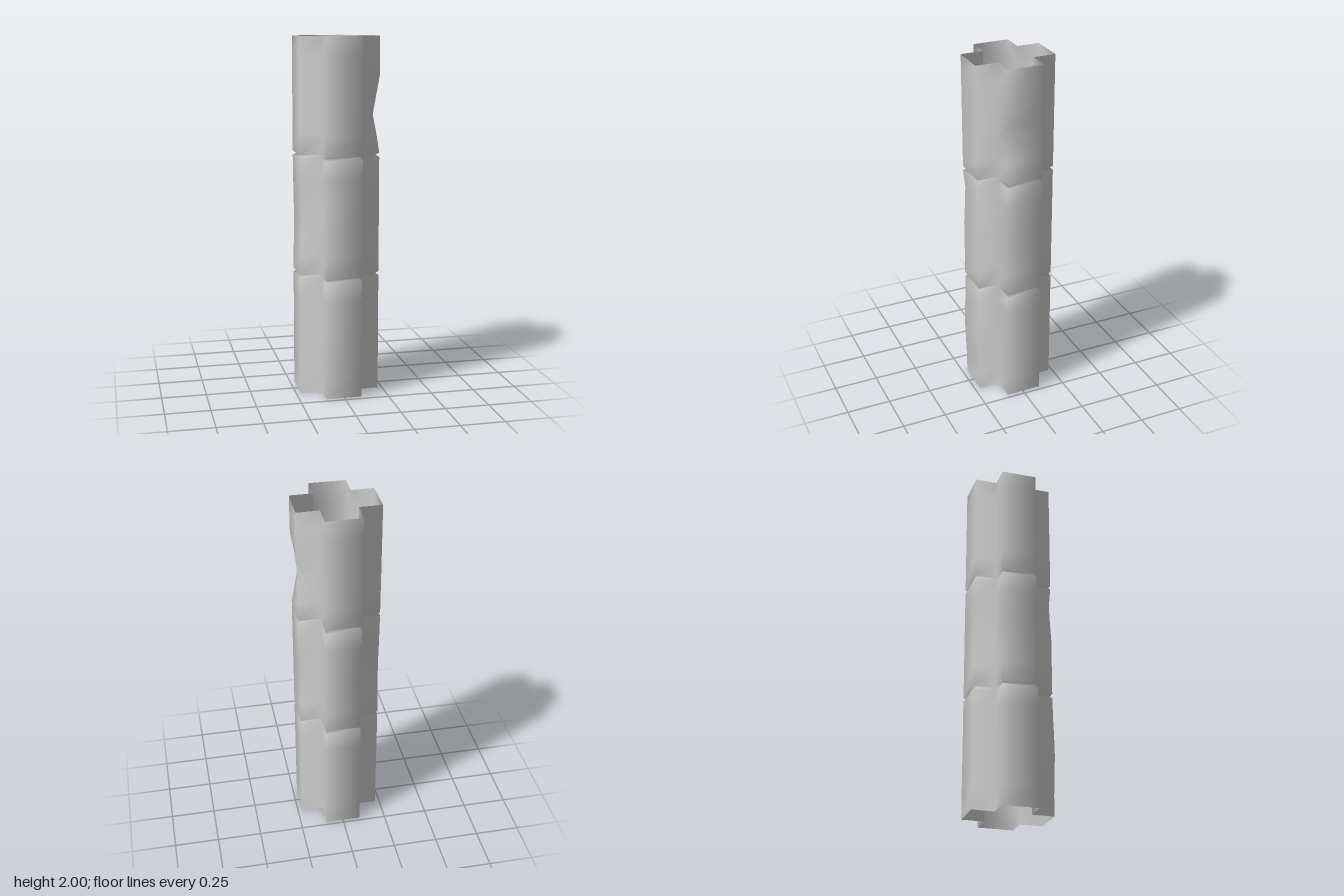
import * as THREE from 'three';

const CENTER_Z = -0.005, ARM = 0.225, HALF = 0.1;

// Plus-shaped outline, counter-clockwise seen from the front left: one arm turned four times
function crossOutline() {
  const points = [];
  for (let i = 0; i < 4; i++) {
    const c = Math.round(Math.cos(i * Math.PI / 2)), s = Math.round(Math.sin(i * Math.PI / 2));
    for (const [x, z] of [[ARM, -HALF], [ARM, HALF], [HALF, HALF]]) {
      points.push([x * c - z * s, x * s + z * c]);
    }
  }
  return points;
}

// Dents and bulges: corner index, height, reach, x shift, z shift
// corners: 0-1 left arm end, 3-4 front arm end, 6-7 right arm end, 9-10 back arm end
const DENTS = [
  [1, 1.58, 0.2, -0.04, 0],
  [0, 0.96, 0.27, -0.02, 0],
  [7, 1.0, 0.3, 0.005, 0],
  [6, 1.0, 0.3, 0.018, 0],
  [4, 1.2, 0.14, 0, -0.014],
  [3, 0.36, 0.24, 0, 0.009],
  [4, 0.36, 0.24, 0, 0.009],
  [9, 1.0, 0.3, 0.015, 0.004],
];

// Levels of the column: three blocks parted by two narrow grooves
function columnRows() {
  const rows = [];
  const blocks = [[0, 0.665], [0.689, 1.338], [1.362, 2]];
  blocks.forEach(([bottom, top], i) => {
    const steps = 6;
    for (let k = 0; k <= steps; k++) {
      rows.push({ y: bottom + (top - bottom) * k / steps, scale: 1 });
    }
    if (i < 2) rows.push({ y: (top + blocks[i + 1][0]) / 2, scale: 0.91 });
  });
  return rows;
}

export function createModel() {
  const outline = crossOutline(), n = outline.length;
  const rows = columnRows();
  const positions = [], indices = [];

  rows.forEach(({ y, scale }, r) => {
    outline.forEach(([x, z], c) => {
      let px = x * scale, pz = z * scale + CENTER_Z;
      for (const [corner, height, reach, dx, dz] of DENTS) {
        if (corner !== c || scale < 1) continue;
        const w = Math.max(0, 1 - Math.abs(y - height) / reach);
        px += dx * w;
        pz += dz * w;
      }
      positions.push(px, y, pz);
      if (r < rows.length - 1) {
        const a = r * n + c, b = r * n + (c + 1) % n;
        indices.push(a, a + n, b, b, a + n, b + n);
      }
    });
  });

  // Open-ended shell with shared corners for soft shading
  const geometry = new THREE.BufferGeometry();
  geometry.setAttribute('position', new THREE.Float32BufferAttribute(positions, 3));
  geometry.setIndex(indices);
  geometry.computeVertexNormals();

  const column = new THREE.Mesh(geometry, new THREE.MeshStandardMaterial({
    color: 0xcccccc, side: THREE.DoubleSide,
  }));
  column.name = 'columnShell';

  const group = new THREE.Group();
  group.name = 'crossColumn';
  group.add(column);
  return group;
}
